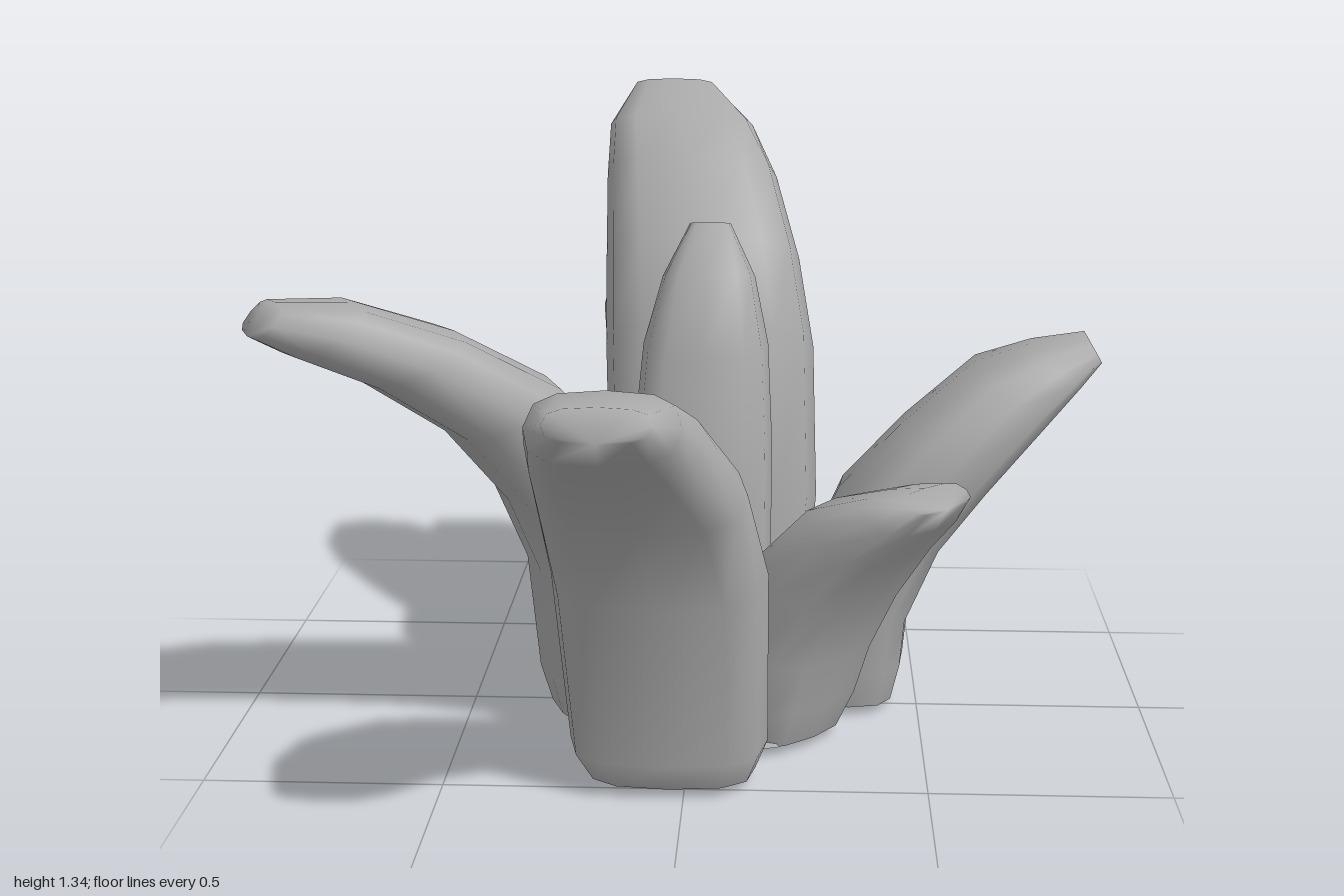
import * as THREE from 'three';

const SIDES = 12;

// Each leaf: heading (x, z) and stations from base to tip:
// [outer reach, outer y, inner reach, inner y, sideways offset, half width]
const LEAVES = {
  frontLeaf: { dir: [0, 1], rows: [
    [0.55, 0.02, 0.3, 0.02, -0.03, 0.175], [0.58, 0.08, 0.29, 0.09, -0.035, 0.205],
    [0.61, 0.42, 0.36, 0.5, -0.05, 0.22], [0.71, 0.61, 0.47, 0.7, -0.08, 0.21],
    [0.84, 0.74, 0.63, 0.85, -0.12, 0.17], [0.95, 0.81, 0.78, 0.91, -0.13, 0.145],
    [1.0, 0.865, 0.95, 0.92, -0.13, 0.1]] },
  tallBackLeaf: { dir: [0, -1], rows: [
    [0.36, 0.02, 0.06, 0.02, -0.02, 0.18], [0.38, 0.1, 0.05, 0.1, -0.02, 0.225],
    [0.39, 0.4, 0.07, 0.45, -0.03, 0.24], [0.44, 0.68, 0.15, 0.84, -0.02, 0.24],
    [0.51, 0.88, 0.26, 1.02, 0, 0.225], [0.6, 1.06, 0.39, 1.19, 0.03, 0.2],
    [0.69, 1.2, 0.52, 1.27, 0.06, 0.17], [0.75, 1.285, 0.65, 1.34, 0.08, 0.1]] },
  lowBackLeaf: { dir: [0, -1], rows: [
    [0.58, 0.0, 0.37, 0.03, -0.01, 0.12], [0.61, 0.1, 0.35, 0.1, 0, 0.185],
    [0.63, 0.26, 0.36, 0.33, 0.01, 0.205], [0.69, 0.4, 0.42, 0.54, 0.02, 0.21],
    [0.79, 0.55, 0.58, 0.76, 0.05, 0.2], [0.9, 0.68, 0.78, 0.81, 0.09, 0.18],
    [0.98, 0.765, 0.93, 0.835, 0.13, 0.13], [1.0, 0.8, 0.98, 0.84, 0.145, 0.1]] },
  leftLeaf: { dir: [1, 0], rows: [
    [0.45, 0.02, 0.24, 0.02, 0.07, 0.15], [0.47, 0.1, 0.23, 0.1, 0.08, 0.175],
    [0.48, 0.2, 0.23, 0.28, 0.09, 0.185], [0.55, 0.36, 0.32, 0.48, 0.1, 0.19],
    [0.65, 0.49, 0.46, 0.63, 0.105, 0.185], [0.78, 0.63, 0.62, 0.765, 0.14, 0.155],
    [0.86, 0.71, 0.75, 0.8, 0.175, 0.115], [0.905, 0.76, 0.87, 0.82, 0.185, 0.07]] },
  smallFrontLeaf: { dir: [0.74, 0.67], rows: [
    [0.37, 0.02, 0.15, 0.02, -0.01, 0.135], [0.4, 0.1, 0.15, 0.1, 0, 0.16],
    [0.42, 0.2, 0.16, 0.25, 0.02, 0.17], [0.47, 0.32, 0.24, 0.42, 0.045, 0.17],
    [0.55, 0.44, 0.36, 0.54, 0.06, 0.16], [0.62, 0.52, 0.5, 0.585, 0.07, 0.13],
    [0.65, 0.57, 0.59, 0.605, 0.075, 0.1]] },
  rightLeaf: { dir: [-0.88, 0.47], rows: [
    [0.32, 0.02, 0.09, 0.02, -0.01, 0.14], [0.34, 0.1, 0.08, 0.1, -0.015, 0.17],
    [0.36, 0.35, 0.09, 0.4, -0.025, 0.185], [0.43, 0.52, 0.18, 0.62, -0.03, 0.195],
    [0.57, 0.69, 0.34, 0.785, -0.03, 0.19], [0.75, 0.815, 0.54, 0.9, -0.04, 0.175],
    [0.91, 0.89, 0.75, 0.98, -0.03, 0.135], [0.98, 0.93, 0.92, 0.995, -0.03, 0.085]] },
  centreLeaf: { dir: [0, -1], rows: [
    [-0.02, 0.02, -0.24, 0.02, -0.02, 0.13], [-0.03, 0.4, -0.23, 0.4, -0.02, 0.15],
    [0.02, 0.65, -0.19, 0.62, -0.02, 0.15], [0.05, 0.85, -0.14, 0.83, -0.025, 0.135],
    [0.07, 0.96, -0.08, 1.0, -0.03, 0.1], [0.1, 1.075, 0.04, 1.09, -0.03, 0.045]] },
};

// Boxy oval cross-sections lofted along the leaf: soft tip, crisp base
function leafGeometry({ dir, rows }) {
  const [dx, dz] = new THREE.Vector2(...dir).normalize().toArray();
  const squash = (t) => Math.sign(t) * Math.pow(Math.abs(t), 0.7);
  const pos = [], index = [];

  const addRing = ([ro, yo, ri, yi, c, w]) => {
    const start = pos.length / 3;
    for (let i = 0; i < SIDES; i++) {
      const a = (i / SIDES) * Math.PI * 2;
      const u = squash(Math.cos(a)) / 2, s = c + w * squash(Math.sin(a));
      const r = (ro + ri) / 2 + u * (ro - ri);
      pos.push(dx * r + dz * s, (yo + yi) / 2 + u * (yo - yi), dz * r - dx * s);
    }
    return start;
  };

  const starts = rows.map(addRing);
  for (let k = 0; k < starts.length - 1; k++) {
    for (let i = 0; i < SIDES; i++) {
      const j = (i + 1) % SIDES, a = starts[k], b = starts[k + 1];
      index.push(a + i, a + j, b + j, a + i, b + j, b + i);
    }
  }
  const base = addRing(rows[0]), tip = starts[starts.length - 1];
  for (let i = 1; i < SIDES - 1; i++) {
    index.push(base, base + i + 1, base + i, tip, tip + i, tip + i + 1);
  }

  const geo = new THREE.BufferGeometry();
  geo.setAttribute('position', new THREE.Float32BufferAttribute(pos, 3));
  geo.setIndex(index);
  geo.computeVertexNormals();
  return geo;
}

export function createModel() {
  const group = new THREE.Group();
  group.name = 'leafyPlant';
  const grey = new THREE.MeshStandardMaterial({ color: 0xaaaaaa });
  grey.name = 'leafGrey';

  for (const [name, leaf] of Object.entries(LEAVES)) {
    const mesh = new THREE.Mesh(leafGeometry(leaf), grey);
    mesh.name = name;
    group.add(mesh);
  }

  // Flat underside joining the leaf bases
  const core = new THREE.Mesh(new THREE.CylinderGeometry(0.22, 0.27, 0.1, 10), grey);
  core.name = 'core';
  core.position.set(0.03, 0.07, 0.1);
  group.add(core);
  return group;
}
